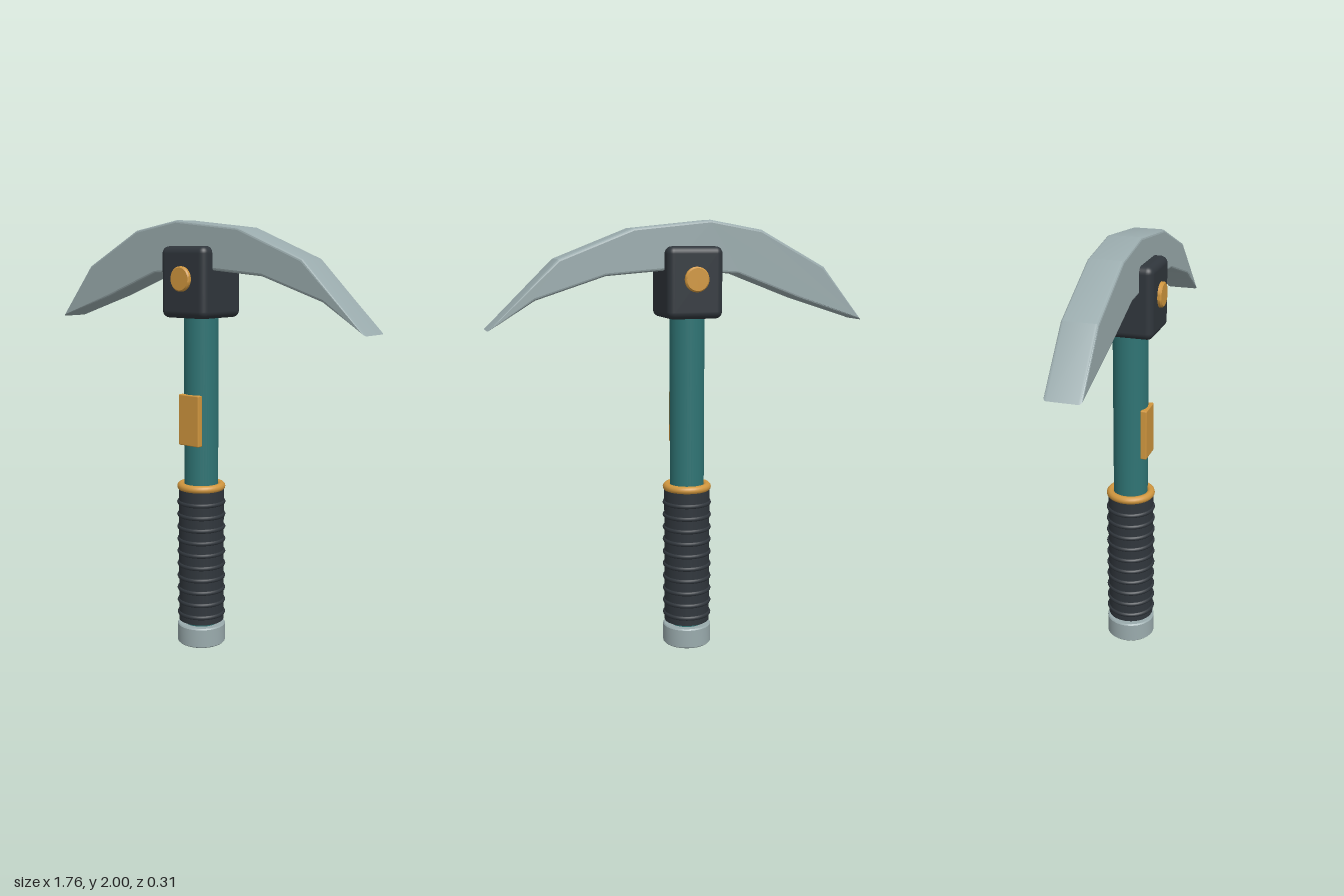
import * as THREE from 'three';
import { toCreasedNormals } from 'three/addons/utils/BufferGeometryUtils.js';
import { RoundedBoxGeometry } from 'three/addons/geometries/RoundedBoxGeometry.js';

const mat = (name, color) => {
  const m = new THREE.MeshStandardMaterial({ color });
  m.name = name;
  return m;
};

export function createModel() {
  const steel = mat('steel', 0x9aabad);
  const rubber = mat('dark rubber', 0x30363c);
  const brass = mat('orange brass', 0xd0963e);
  const teal = mat('teal', 0x2f7474);

  const model = new THREE.Group();
  model.name = 'pickaxe';
  const axis = -0.035; // x of the handle axis

  const add = (name, geometry, material, x, y, z = 0) => {
    const mesh = new THREE.Mesh(geometry, material);
    mesh.name = name;
    mesh.position.set(x, y, z);
    model.add(mesh);
    return mesh;
  };
  const lathe = (points) => toCreasedNormals(
    new THREE.LatheGeometry(points.map(([r, y]) => new THREE.Vector2(r, y)), 40), 0.6);

  // Curved head: outline extruded with a small inward bevel
  const outline = [
    [-0.884, 1.54], [-0.556, 1.645], [-0.254, 1.76], [0.064, 1.78], [0.36, 1.756], [0.672, 1.655],
    [0.878, 1.528], [0.571, 1.83], [0.233, 1.963], [-0.122, 2], [-0.37, 1.957], [-0.683, 1.79],
  ].map(([x, y]) => new THREE.Vector2(x, y));
  const head = new THREE.ExtrudeGeometry(new THREE.Shape(outline), {
    depth: 0.126, bevelEnabled: true, bevelThickness: 0.014, bevelSize: 0.012,
    bevelOffset: -0.012, bevelSegments: 3,
  });
  head.translate(0, 0, -0.063);
  add('head', toCreasedNormals(head, 0.3), steel, 0, 0);

  // Socket block with a rivet through it
  add('socket', new RoundedBoxGeometry(0.26, 0.32, 0.272, 4, 0.032), rubber, axis, 1.724);
  const rivet = lathe([[0, -0.153], [0.05, -0.153], [0.056, -0.147], [0.056, 0.147], [0.05, 0.153], [0, 0.153]]);
  rivet.rotateX(Math.PI / 2);
  add('rivet', rivet, brass, axis, 1.74);

  // Handle shaft and name plate
  add('shaft', new THREE.CylinderGeometry(0.08, 0.08, 1.56, 40), teal, axis, 0.84);
  add('plate', new RoundedBoxGeometry(0.12, 0.238, 0.03, 2, 0.005), brass, axis, 1.093, 0.078);

  // Ribbed grip
  add('grip', new THREE.CylinderGeometry(0.107, 0.107, 0.65, 40), rubber, axis, 0.437);
  for (let i = 0; i < 10; i++) {
    const rib = new THREE.TorusGeometry(0.104, 0.011, 8, 40);
    rib.rotateX(Math.PI / 2);
    add('gripRib', rib, rubber, axis, 0.148 + i * 0.0608);
  }

  // Collar ring above the grip
  const collar = new THREE.TorusGeometry(0.095, 0.019, 12, 40);
  collar.rotateX(Math.PI / 2);
  add('collar', collar, brass, axis, 0.771);

  // Steel pommel
  add('pommel', lathe([[0, 0], [0.109, 0], [0.114, 0.005], [0.114, 0.09], [0.109, 0.096], [0, 0.096]]),
    steel, axis, 0);

  return model;
}
